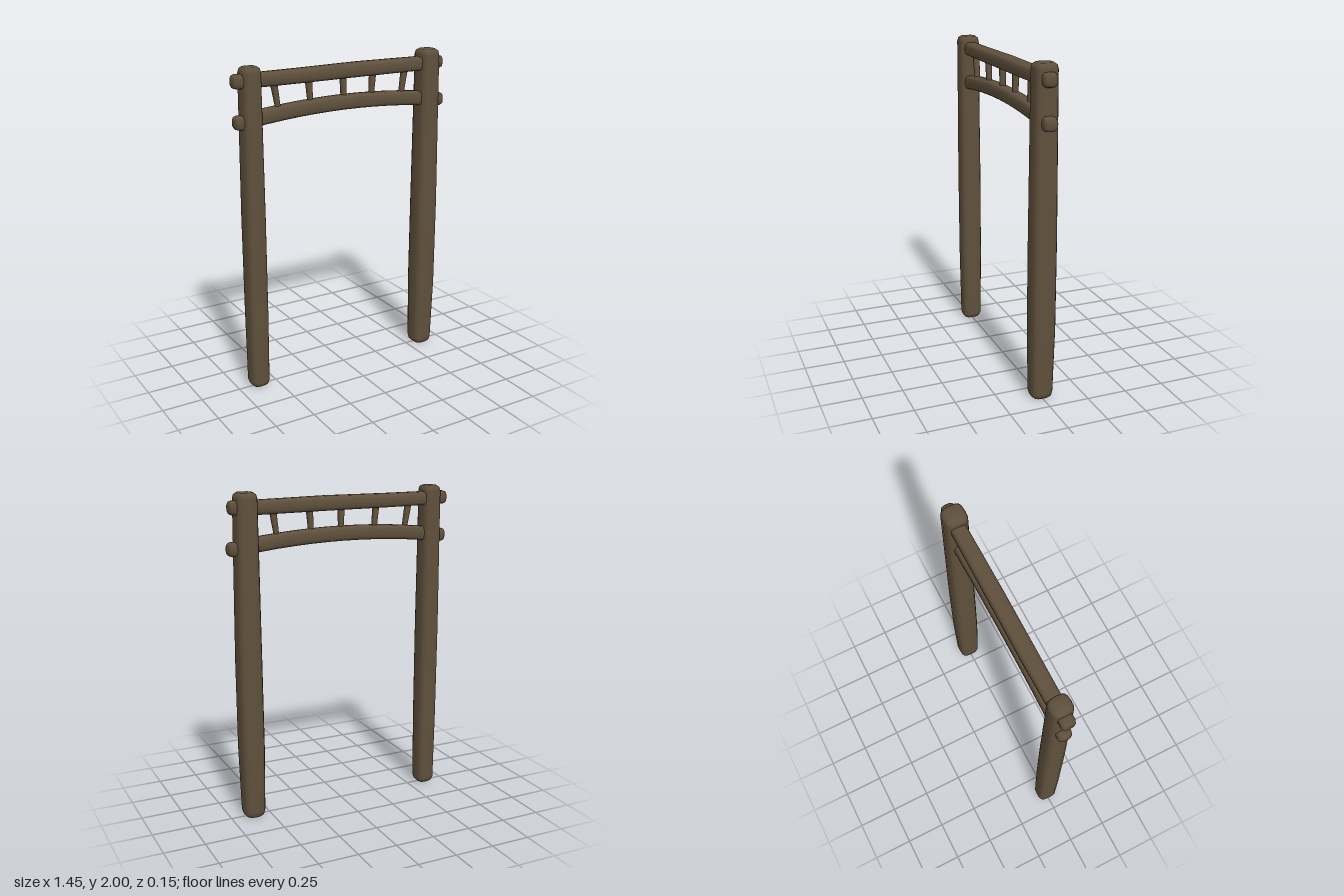
import * as THREE from 'three';

const SIDES = 16;

// Sweeps a rounded-square section through stations [x, y, z, halfU, halfV].
// Axis 'y': U = z, V = x.  Axis 'x': U = y, V = z.
function sweepLog(axis, stations) {
  const pos = [], index = [];
  const put = (s, u, v) => axis === 'y'
    ? pos.push(s[0] + v, s[1], s[2] + u)
    : pos.push(s[0], s[1] + u, s[2] + v);
  const round = (c) => Math.sign(c) * Math.pow(Math.abs(c), 0.62);
  for (const s of stations) {
    for (let j = 0; j < SIDES; j++) {
      const t = (j / SIDES) * Math.PI * 2;
      put(s, s[3] * round(Math.cos(t)), s[4] * round(Math.sin(t)));
    }
  }
  const last = stations.length - 1;
  for (let i = 0; i < last; i++) {
    for (let j = 0; j < SIDES; j++) {
      const k = (j + 1) % SIDES;
      const a = i * SIDES + j, b = i * SIDES + k;
      index.push(a, b, b + SIDES, a, b + SIDES, a + SIDES);
    }
  }
  // End caps
  const start = pos.length / 3;
  put(stations[0], 0, 0);
  put(stations[last], 0, 0);
  for (let j = 0; j < SIDES; j++) {
    const k = (j + 1) % SIDES;
    index.push(start, k, j, start + 1, last * SIDES + j, last * SIDES + k);
  }
  const geo = new THREE.BufferGeometry();
  geo.setAttribute('position', new THREE.Float32BufferAttribute(pos, 3));
  geo.setIndex(index);
  geo.computeVertexNormals();
  return geo;
}

export function createModel() {
  const group = new THREE.Group();
  group.name = 'woodenGateway';
  const wood = new THREE.MeshStandardMaterial({ color: 0x5f503c });
  wood.name = 'darkWood';

  const add = (name, axis, stations) => {
    const mesh = new THREE.Mesh(sweepLog(axis, stations), wood);
    mesh.name = name;
    group.add(mesh);
  };

  // Posts: slightly uneven logs with worn ends
  add('rightPost', 'y', [
    [-0.617, 0.005, 0, 0.045, 0.042],
    [-0.617, 0.015, 0, 0.056, 0.052],
    [-0.617, 0.04, 0, 0.064, 0.060],
    [-0.617, 0.5, 0, 0.070, 0.063],
    [-0.617, 1.1, 0, 0.070, 0.064],
    [-0.616, 1.6, 0, 0.067, 0.061],
    [-0.615, 1.955, 0, 0.066, 0.059],
    [-0.614, 1.978, 0, 0.060, 0.054],
    [-0.612, 1.99, 0, 0.044, 0.040],
  ]);
  add('leftPost', 'y', [
    [0.605, 0, 0, 0.050, 0.047],
    [0.605, 0.012, 0, 0.062, 0.060],
    [0.605, 0.04, 0, 0.068, 0.067],
    [0.608, 0.45, 0, 0.076, 0.075],
    [0.610, 1.0, 0, 0.076, 0.074],
    [0.608, 1.6, 0, 0.072, 0.069],
    [0.607, 1.965, 0, 0.070, 0.066],
    [0.607, 1.988, 0, 0.064, 0.060],
    [0.607, 2.0, 0, 0.046, 0.044],
  ]);

  // Straight upper beam
  add('upperBeam', 'x', [
    [-0.62, 1.911, -0.004, 0.042, 0.046],
    [-0.3, 1.911, -0.005, 0.043, 0.049],
    [0.1, 1.914, -0.004, 0.045, 0.049],
    [0.62, 1.911, -0.004, 0.043, 0.046],
  ]);

  // Arched lower beam
  const arch = [];
  for (let i = 0; i <= 12; i++) {
    const x = -0.62 + (1.24 * i) / 12;
    arch.push([x, 1.727 - 0.105 * x * x, 0, 0.045, 0.043]);
  }
  add('lowerBeam', 'x', arch);

  // Beam ends protruding through the outer sides of the posts
  const beamEnd = (name, side, tip, y) => {
    const rings = [
      [0.60, y, 0, 0.041, 0.041],
      [tip - 0.025, y, 0, 0.042, 0.043],
      [tip - 0.008, y, 0, 0.036, 0.037],
      [tip, y, 0, 0.024, 0.025],
    ].map(([x, ...rest]) => [side * x, ...rest]);
    add(name, 'x', side > 0 ? rings : rings.reverse());
  };
  beamEnd('upperLeftBeamEnd', 1, 0.71, 1.914);
  beamEnd('lowerLeftBeamEnd', 1, 0.722, 1.677);
  beamEnd('upperRightBeamEnd', -1, 0.726, 1.912);
  beamEnd('lowerRightBeamEnd', -1, 0.72, 1.677);

  // Small struts between the beams: [bottom x, top x]
  const struts = [[-0.442, -0.465], [-0.227, -0.238], [0, -0.003], [0.196, 0.206], [0.418, 0.438]];
  for (const [x0, x1] of struts) {
    add('strut', 'y', [
      [x0, 1.73, 0, 0.017, 0.015],
      [x0, 1.75, 0, 0.017, 0.015],
      [x1, 1.89, 0, 0.020, 0.020],
    ]);
  }

  return group;
}
